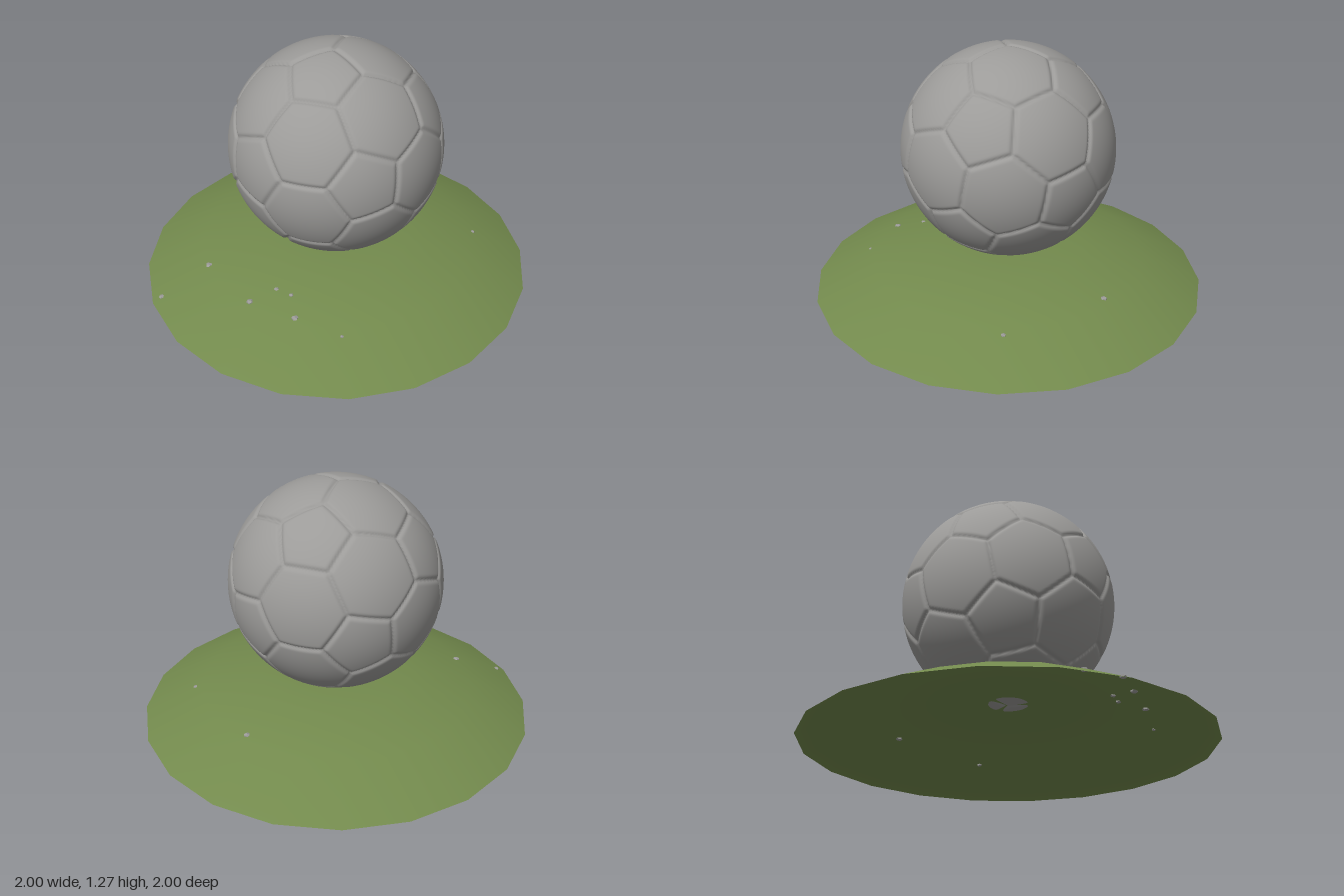
import * as THREE from 'three';
import { mergeVertices } from 'three/addons/utils/BufferGeometryUtils.js';

const leather = new THREE.MeshStandardMaterial({ color: 0x9c9b99 });
leather.name = 'grey leather';
const grass = new THREE.MeshStandardMaterial({ color: 0x738a4d, side: THREE.DoubleSide });
grass.name = 'grass green';

// Rim-to-top outline of the mound, as [radius, height]
const moundProfile = [[1, 0], [0.7, 0.145], [0.39, 0.2], [0.2, 0.211], [0, 0.213]];

function moundHeight(r) {
  for (let i = 1; i < moundProfile.length; i++) {
    const [r0, y0] = moundProfile[i - 1], [r1, y1] = moundProfile[i];
    if (r >= r1) return y0 + (y1 - y0) * (r0 - r) / (r0 - r1);
  }
  return 0;
}

// Normals of the 12 pentagon and 20 hexagon panels, each divided by its plane distance
function panelPlanes() {
  const front = new THREE.Vector3(0.03, 0.15, 0.99).normalize();
  const up = new THREE.Vector3(0.19, 0.946, 0.26);
  up.addScaledVector(front, -up.dot(front)).normalize();
  const pentagons = [front.clone(), front.clone().negate()];
  for (let k = 0; k < 5; k++) {
    const v = up.clone().applyAxisAngle(front, k * Math.PI * 0.4)
      .multiplyScalar(2 / Math.sqrt(5)).addScaledVector(front, 1 / Math.sqrt(5));
    pentagons.push(v, v.clone().negate());
  }
  const hexagons = [];
  const near = (a, b) => a.dot(b) > 0.4;
  for (let i = 0; i < 12; i++)
    for (let j = i + 1; j < 12; j++)
      for (let k = j + 1; k < 12; k++) {
        const [a, b, c] = [pentagons[i], pentagons[j], pentagons[k]];
        if (near(a, b) && near(b, c) && near(a, c))
          hexagons.push(a.clone().add(b).add(c).normalize().divideScalar(2.267));
      }
  return [...pentagons.map(p => p.clone().divideScalar(2.327)), ...hexagons];
}

// Sphere with rounded grooves pressed in along the panel borders
function ballGeometry(radius) {
  let geo = new THREE.IcosahedronGeometry(1, 70);
  geo.deleteAttribute('uv');
  geo.deleteAttribute('normal');
  geo = mergeVertices(geo, 1e-5);
  const planes = panelPlanes();
  const pos = geo.attributes.position;
  const d = new THREE.Vector3();
  for (let i = 0; i < pos.count; i++) {
    d.fromBufferAttribute(pos, i).normalize();
    let best = -1, second = -1;
    for (const p of planes) {
      const s = d.dot(p);
      if (s > best) { second = best; best = s; }
      else if (s > second) second = s;
    }
    const groove = Math.max(0, 1 - (best - second) / 0.012);
    d.multiplyScalar(radius - 0.014 * groove * groove);
    pos.setXYZ(i, d.x, d.y, d.z);
  }
  geo.computeVertexNormals();
  return geo;
}

export function createModel() {
  const model = new THREE.Group();
  model.name = 'ballOnMound';

  // Open grassy dome
  const mound = new THREE.Mesh(
    new THREE.LatheGeometry(moundProfile.map(([r, y]) => new THREE.Vector2(r, y)), 20), grass);
  mound.name = 'grassMound';
  model.add(mound);

  // Panelled ball sunk a little into the top
  const ball = new THREE.Mesh(ballGeometry(0.534), leather);
  ball.name = 'ball';
  ball.position.y = 0.737;
  model.add(ball);

  // Small stones half buried in the grass: x, z, size
  const stones = new THREE.Group();
  stones.name = 'pebbles';
  const stoneGeo = new THREE.DodecahedronGeometry(1, 0);
  [[-0.13, -0.64, 0.017], [0.42, -0.6, 0.013], [0.36, 0.55, 0.018], [0.13, 0.65, 0.018],
    [-0.23, 0.65, 0.018], [0.58, 0.44, 0.01], [-0.3, 0.9, 0.016], [0.16, 0.51, 0.014],
    [0.24, 0.48, 0.013]].forEach(([x, z, s], i) => {
    const stone = new THREE.Mesh(stoneGeo, leather);
    stone.name = 'pebble' + (i + 1);
    stone.position.set(x, moundHeight(Math.hypot(x, z)) - 0.003, z);
    stone.scale.set(s, s * 0.6, s);
    stone.rotation.y = i * 1.3;
    stones.add(stone);
  });
  model.add(stones);

  return model;
}
